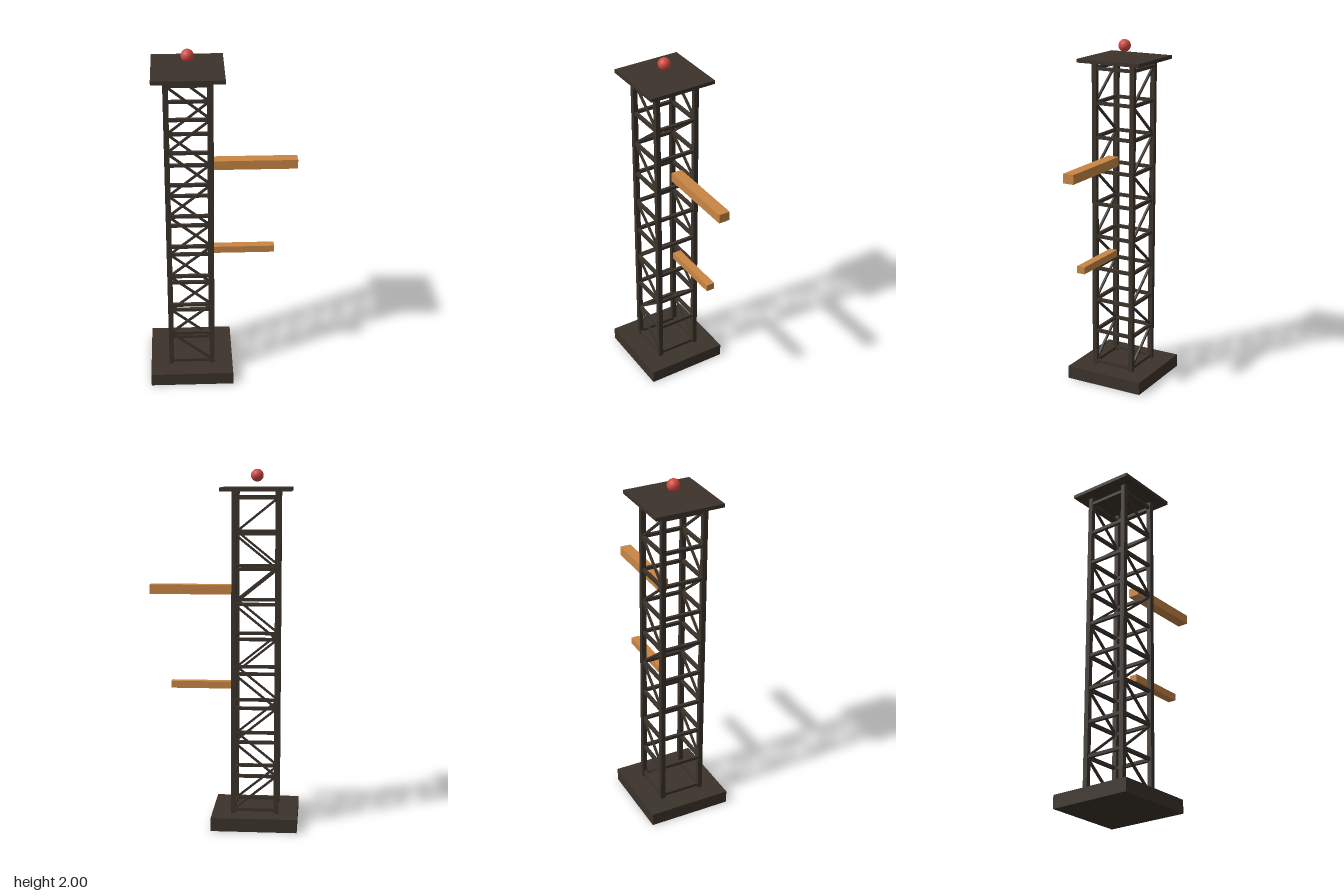
import * as THREE from 'three';

const mat = (name, color) => {
  const m = new THREE.MeshStandardMaterial({ color });
  m.name = name;
  return m;
};

export function createModel() {
  const iron = mat('dark iron', 0x3b332b);
  const wood = mat('orange wood', 0xc98645);
  const red = mat('signal red', 0xd34a43);

  const model = new THREE.Group();
  model.name = 'latticeTower';
  const tower = new THREE.Group();
  tower.name = 'tower';
  tower.position.x = -0.181;
  model.add(tower);

  const box = (name, w, h, d, x, y, z, material = iron, parent = tower) => {
    const mesh = new THREE.Mesh(new THREE.BoxGeometry(w, h, d), material);
    mesh.name = name;
    mesh.position.set(x, y, z);
    parent.add(mesh);
    return mesh;
  };

  // Footing and top platform
  const baseH = 0.075, deckY = 1.88;
  box('base', 0.48, baseH, 0.48, 0, baseH / 2, 0);
  box('topPlatform', 0.39, 0.02, 0.39, 0, deckY + 0.01, 0);

  // Four corner legs
  const r = 0.12, legW = 0.027;
  for (const sx of [-1, 1])
    for (const sz of [-1, 1])
      box('leg', legW, deckY - baseH, legW, sx * r, (deckY + baseH) / 2, sz * r);

  // Rings of rungs, with zigzag braces on the front and back only
  const levels = 10, y0 = 0.095, step = 0.1944, bar = 0.018, brace = 0.012;
  for (let i = 0; i < levels; i++) {
    const y = y0 + i * step;
    for (const s of [-1, 1]) {
      box('crossRung', 2 * r, bar, bar, 0, y, s * r);
      box('sideRung', bar, bar, 2 * r, s * r, y, 0);
      if (i < levels - 1) {
        const diagonal = box('brace', Math.hypot(2 * r, step), brace, brace, 0, y + step / 2, s * r);
        diagonal.rotation.z = (i % 2 ? 1 : -1) * Math.atan2(step, 2 * r);
      }
    }
  }

  // Two arms reaching out to the side: [end x, centre y, height, depth]
  const armStart = -0.061;
  for (const [end, y, h, d] of [[0.42, 1.332, 0.053, 0.064], [0.3, 0.79, 0.04, 0.048]])
    box('arm', end - armStart, h, d, (end + armStart) / 2, y, 0, wood, model);

  // Beacon floating above the platform
  const beacon = new THREE.Mesh(new THREE.SphereGeometry(0.035, 20, 14), red);
  beacon.name = 'beacon';
  beacon.position.y = 1.965;
  tower.add(beacon);

  return model;
}
